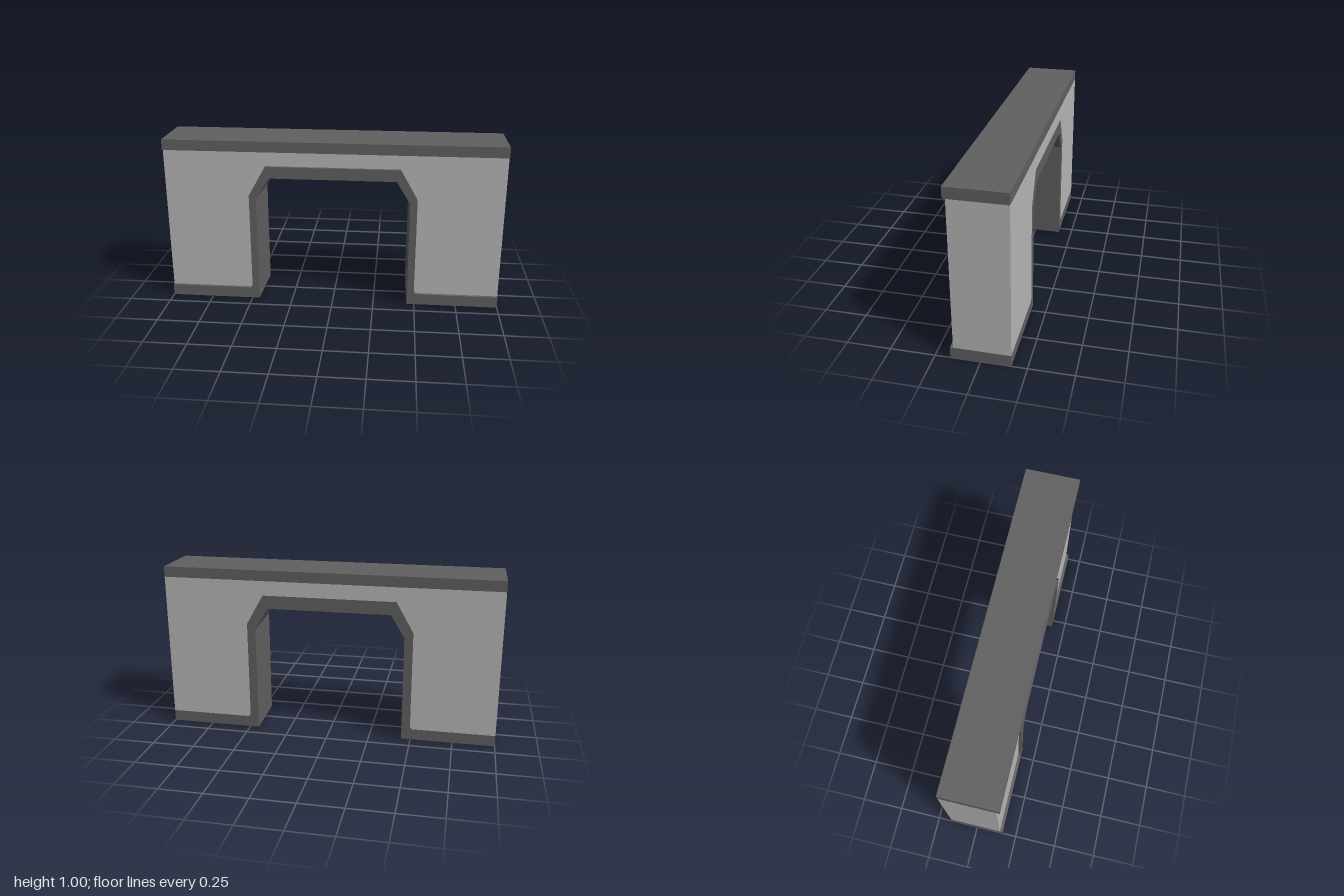
import * as THREE from 'three';

const BACK = -0.165, FRONT = 0.165, WALL_FRONT = 0.148;

// Mirrors a right-half profile (ordered from outside to middle) across x = 0
const mirrored = (half) => [...half, ...half.map(([x, y]) => [-x, y]).reverse()];

function slab(points, front) {
  const shape = new THREE.Shape(points.map(([x, y]) => new THREE.Vector2(x, y)));
  const geometry = new THREE.ExtrudeGeometry(shape, { depth: front - BACK, bevelEnabled: false });
  return geometry.translate(0, 0, BACK);
}

export function createModel() {
  const darkGrey = new THREE.MeshStandardMaterial({ color: 0x606060 });
  darkGrey.name = 'darkGrey';
  const lightGrey = new THREE.MeshStandardMaterial({ color: 0xb7b7b7 });
  lightGrey.name = 'lightGrey';

  const model = new THREE.Group();
  model.name = 'archedWall';
  const add = (name, geometry, material) => {
    const mesh = new THREE.Mesh(geometry, material);
    mesh.name = name;
    model.add(mesh);
    return mesh;
  };

  // Line where the wall meets the skirting and the arch frame
  const seam = [[1, 0.067], [0.51, 0.067], [0.497, 0.08], [0.497, 0.67], [0.395, 0.85]];
  // Edge of the opening
  const opening = [[0.455, 0], [0.455, 0.648], [0.373, 0.78]];

  // Light wall, set back at the front and flush with the trim behind
  add('wall', slab([...mirrored(seam), [-1, 0.937], [1, 0.937]], WALL_FRONT), lightGrey);

  // Skirting and arch frame as one band, the opening narrowing slightly to the back
  const frame = slab([...mirrored(seam), [-1, 0], ...mirrored(opening).reverse(), [1, 0]], FRONT);
  const p = frame.attributes.position;
  for (let i = 0; i < p.count; i++) {
    const x = p.getX(i), y = p.getY(i);
    if (p.getZ(i) < 0 && Math.abs(x) < 0.46 && y < 0.8) {
      p.setX(i, x * 0.98);
      if (y > 0.5) p.setY(i, y - 0.009);
    }
  }
  frame.computeVertexNormals();
  add('archFrame', frame, darkGrey);

  // Coping along the top
  const coping = add('coping', new THREE.BoxGeometry(2, 0.063, FRONT - BACK), darkGrey);
  coping.position.y = 0.9685;

  return model;
}
